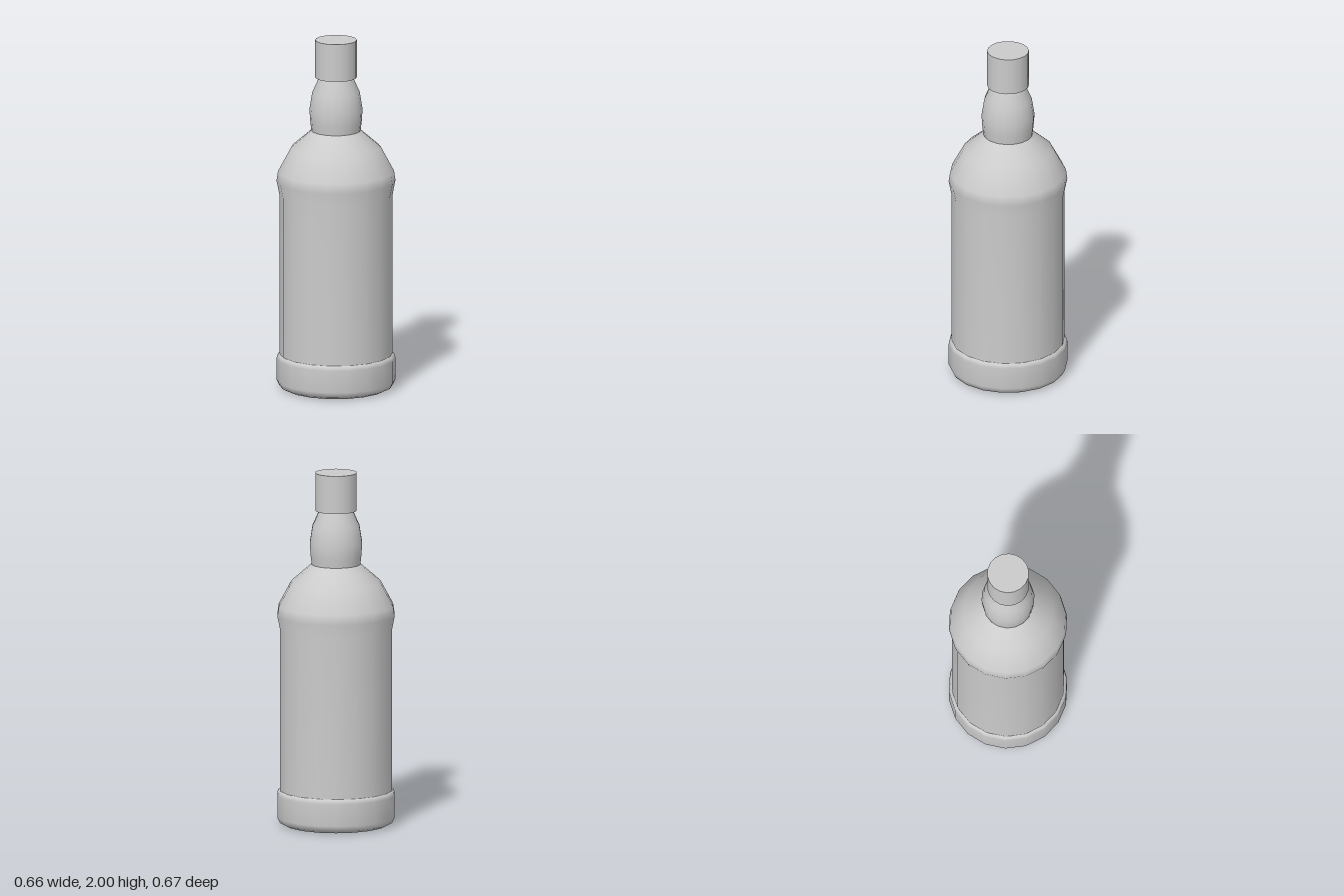
import * as THREE from 'three';

const SIDES = 18;

export function createModel() {
  const bottle = new THREE.Group();
  bottle.name = 'bottle';
  const material = new THREE.MeshStandardMaterial({ color: 0xcccccc });

  const add = (name, geometry, y = 0) => {
    const mesh = new THREE.Mesh(geometry, material);
    mesh.name = name;
    mesh.position.y = y;
    bottle.add(mesh);
    return mesh;
  };
  // Turned part from [radius, height] pairs, bottom to top
  const turned = (name, profile) =>
    add(name, new THREE.LatheGeometry(profile.map(([r, y]) => new THREE.Vector2(r, y)), SIDES));

  // Flat underside
  add('underside', new THREE.CircleGeometry(0.29, SIDES).rotateZ(Math.PI / 2).rotateX(Math.PI / 2));

  // Raised band around the foot
  turned('baseBand', [[0.29, 0], [0.318, 0.014], [0.333, 0.045], [0.333, 0.17], [0.328, 0.188], [0.317, 0.196]]);

  // Straight wall swelling into the sloped shoulder
  turned('bodyAndShoulder', [
    [0.317, 0.196], [0.317, 1.11], [0.333, 1.19], [0.325, 1.245], [0.253, 1.38], [0.138, 1.48],
  ]);

  // Bulbous neck, running up into the cap
  turned('neck', [
    [0.138, 1.48], [0.144, 1.53], [0.149, 1.6], [0.133, 1.7], [0.097, 1.78], [0.095, 1.8],
  ]);

  // Cylindrical cap
  add('cap', new THREE.CylinderGeometry(0.117, 0.117, 0.215, SIDES), 1.8925);

  return bottle;
}
